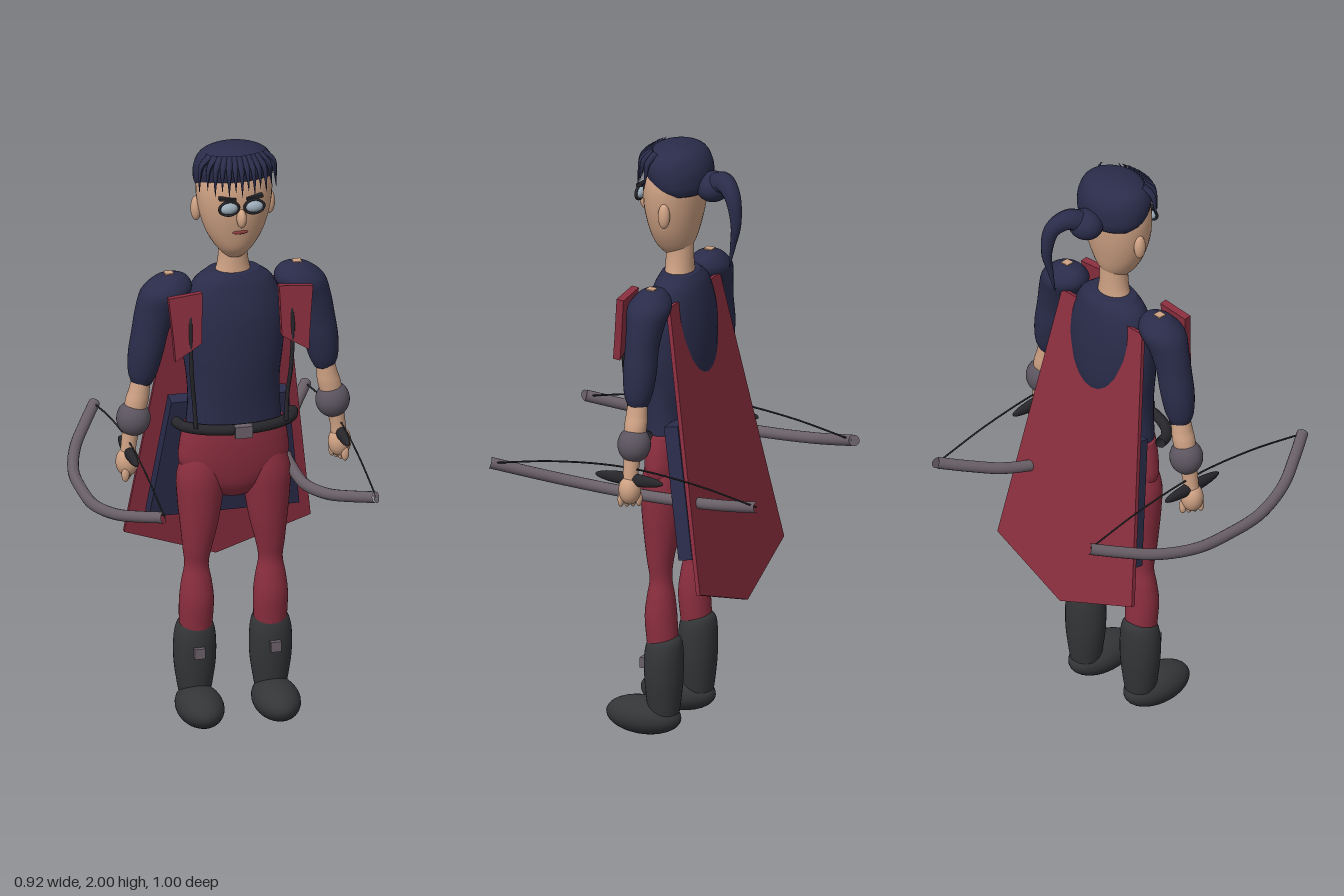
import * as THREE from 'three';

const mat = (name, color, side = THREE.FrontSide) => {
  const m = new THREE.MeshStandardMaterial({ color, side });
  m.name = name;
  return m;
};

// Closed smooth body from ellipse sections [y, x, z, rx, rz], bottom to top
function loft(sections, rings = 36, sides = 32) {
  const s = [...sections].sort((a, b) => a[0] - b[0]);
  const mid = new THREE.CatmullRomCurve3(s.map(p => new THREE.Vector3(p[1], p[0], p[2])), false, 'catmullrom');
  const rad = new THREE.CatmullRomCurve3(s.map(p => new THREE.Vector3(p[3], p[4], 0)), false, 'catmullrom');
  const pos = [], idx = [];
  for (let i = 0; i <= rings + 2; i++) {
    const t = Math.min(Math.max((i - 1) / rings, 0), 1);
    const c = mid.getPoint(t), r = rad.getPoint(t);
    const k = i === 0 || i === rings + 2 ? 0 : 1; // end rings close to a point
    for (let j = 0; j < sides; j++) {
      const a = (j / sides) * Math.PI * 2;
      pos.push(c.x + k * r.x * Math.cos(a), c.y, c.z + k * r.y * Math.sin(a));
      if (i < rings + 2) {
        const p = i * sides + j, q = i * sides + (j + 1) % sides;
        idx.push(p, p + sides, q, q, p + sides, q + sides);
      }
    }
  }
  const g = new THREE.BufferGeometry();
  g.setAttribute('position', new THREE.Float32BufferAttribute(pos, 3));
  g.setIndex(idx);
  g.computeVertexNormals();
  return g;
}

const curve = pts => new THREE.CatmullRomCurve3(pts.map(p => new THREE.Vector3(...p)));

// Tube whose radius follows taper(t)
function tube(pts, radius, taper = () => 1, seg = 24, sides = 12) {
  const path = curve(pts), g = new THREE.TubeGeometry(path, seg, radius, sides);
  const p = g.attributes.position, v = new THREE.Vector3();
  for (let i = 0; i < p.count; i++) {
    const t = Math.floor(i / (sides + 1)) / seg;
    const c = path.getPointAt(t);
    v.fromBufferAttribute(p, i).sub(c).multiplyScalar(taper(t)).add(c);
    p.setXYZ(i, v.x, v.y, v.z);
  }
  g.computeVertexNormals();
  return g;
}

const ball = (rx, ry, rz) => new THREE.SphereGeometry(1, 28, 20).scale(rx, ry, rz);

function slab(points, depth) {
  const shape = new THREE.Shape(points.map(p => new THREE.Vector2(...p)));
  return new THREE.ExtrudeGeometry(shape, { depth, bevelEnabled: false });
}

export function createModel() {
  const navy = mat('navy cloth', 0x2a2c4a);
  const red = mat('red cloth', 0x8b2e3f);
  const skin = mat('skin', 0xcfa284);
  const boot = mat('dark boot leather', 0x333537);
  const wood = mat('grey bow wood', 0x6a6068);
  const cuffGrey = mat('grey cuff', 0x5c5560);
  const dark = mat('dark trim', 0x26262b, THREE.DoubleSide);
  const lens = mat('pale lens', 0x9cabb8);
  const lip = mat('lip', 0x8a3c3c);

  const model = new THREE.Group();
  model.name = 'caped archer';
  const body = new THREE.Group();
  body.name = 'body';
  body.position.x = 0.065;
  model.add(body);
  const add = (name, geo, material, x = 0, y = 0, z = 0, parent = body) => {
    const m = new THREE.Mesh(geo, material);
    m.name = name;
    m.position.set(x, y, z);
    parent.add(m);
    return m;
  };

  // Torso, neck and hips
  add('torso', loft([
    [1.02, 0, -0.02, 0.16, 0.085], [1.12, 0, -0.02, 0.152, 0.088], [1.2, 0, -0.027, 0.155, 0.1],
    [1.3, 0, -0.031, 0.167, 0.106], [1.42, 0, -0.032, 0.168, 0.1],
    [1.52, 0, -0.033, 0.135, 0.078], [1.565, 0, -0.03, 0.085, 0.055]]), navy);
  add('neck', loft([[1.53, 0, -0.028, 0.07, 0.05], [1.58, 0, -0.028, 0.053, 0.046],
    [1.64, 0, -0.028, 0.047, 0.045], [1.7, 0, -0.028, 0.05, 0.045]]), skin);
  add('hips', loft([[0.78, 0, -0.02, 0.05, 0.035], [0.83, 0, -0.02, 0.13, 0.062],
    [0.9, 0, -0.02, 0.18, 0.076], [0.97, 0, -0.02, 0.18, 0.082], [1.04, 0, -0.02, 0.165, 0.082]]), red);

  // Head and face
  add('head', loft([
    [1.62, 0, -0.01, 0.03, 0.03], [1.66, 0, -0.01, 0.065, 0.064], [1.72, 0, -0.01, 0.098, 0.083],
    [1.8, 0, -0.011, 0.12, 0.098], [1.88, 0, -0.015, 0.124, 0.1],
    [1.94, 0, -0.017, 0.1, 0.08], [1.975, 0, -0.017, 0.04, 0.04]]), skin);
  add('nose', ball(0.016, 0.032, 0.022), skin, 0, 1.785, 0.093);
  add('mouth', ball(0.026, 0.007, 0.008), lip, 0, 1.73, 0.073);
  for (const s of [-1, 1]) {
    add('ear', ball(0.018, 0.042, 0.02), skin, s * 0.122, 1.785, -0.03);
    add('eyeLens', ball(0.03, 0.02, 0.018), lens, s * 0.042, 1.825, 0.092);
    add('lensFrame', new THREE.TorusGeometry(0.032, 0.005, 8, 28).scale(1, 0.75, 1), dark, s * 0.042, 1.825, 0.094);
    add('eyebrow', new THREE.BoxGeometry(0.055, 0.01, 0.02), dark, s * 0.045, 1.855, 0.084).rotation.z = s * 0.12;
  }

  // Hair cap, fringe, bun and ponytail
  add('hairCap', loft([
    [1.85, 0, -0.045, 0.11, 0.08], [1.88, 0, -0.035, 0.128, 0.098], [1.93, 0, -0.023, 0.131, 0.108],
    [1.97, 0, -0.02, 0.115, 0.092], [1.99, 0, -0.02, 0.08, 0.065], [2.0, 0, -0.02, 0.03, 0.025]]), navy);
  const strands = 13;
  for (let i = 0; i < strands; i++) {
    const x = -0.125 + 0.25 * i / (strands - 1);
    const z = -0.02 + 0.12 * Math.sqrt(1 - (x / 0.14) ** 2);
    add('fringeStrand', tube([[x * 0.7, 1.98, z * 0.5], [x * 0.95, 1.955, z * 0.9], [x, 1.92, z],
      [x * 1.02, 1.865 + 0.018 * (i % 2), z + 0.006]], 0.014, t => 1.02 - t, 12, 8), navy);
  }
  add('hairBun', ball(0.06, 0.05, 0.055), navy, 0.005, 1.87, -0.15);
  add('ponytail', tube([[0.01, 1.87, -0.15], [0.03, 1.9, -0.2], [0.06, 1.87, -0.245],
    [0.07, 1.78, -0.263], [0.065, 1.7, -0.25], [0.06, 1.625, -0.235]],
    0.04, t => 1.02 - t * 0.98, 32), navy);

  for (const s of [-1, 1]) {
    // Arm
    add('sleeve', loft([
      [1.19, s * 0.303, -0.025, 0.032, 0.03], [1.23, s * 0.3, -0.025, 0.048, 0.045],
      [1.3, s * 0.29, -0.025, 0.058, 0.054], [1.38, s * 0.274, -0.025, 0.062, 0.054],
      [1.45, s * 0.252, -0.027, 0.072, 0.06], [1.51, s * 0.222, -0.028, 0.083, 0.07],
      [1.55, s * 0.207, -0.03, 0.056, 0.045], [1.565, s * 0.205, -0.03, 0.02, 0.018]]), navy);
    add('shoulderPatch', new THREE.BoxGeometry(0.028, 0.02, 0.028), skin, s * 0.213, 1.558, -0.03);
    add('forearm', loft([[0.93, s * 0.352, -0.02, 0.026, 0.025], [1.0, s * 0.345, -0.022, 0.026, 0.026],
      [1.12, s * 0.322, -0.025, 0.038, 0.036], [1.17, s * 0.312, -0.025, 0.034, 0.034],
      [1.22, s * 0.304, -0.025, 0.03, 0.03]]), skin);
    add('cuff', ball(0.056, 0.06, 0.054), cuffGrey, s * 0.331, 1.07, -0.025);
    add('hand', ball(0.038, 0.05, 0.036), skin, s * 0.353, 0.922, -0.02);
    for (let f = 0; f < 4; f++)
      add('finger', ball(0.013, 0.026, 0.01), skin, s * (0.335 + 0.01 * f), 0.888, -0.045 + f * 0.017);

    // Leg and boot
    add('leg', loft([
      [0.22, s * 0.124, -0.028, 0.045, 0.045], [0.31, s * 0.124, -0.027, 0.053, 0.05],
      [0.41, s * 0.123, -0.02, 0.057, 0.052], [0.48, s * 0.123, -0.02, 0.05, 0.045],
      [0.54, s * 0.123, -0.02, 0.04, 0.036], [0.6, s * 0.121, -0.017, 0.048, 0.042],
      [0.68, s * 0.115, -0.018, 0.062, 0.055], [0.77, s * 0.112, -0.02, 0.074, 0.066],
      [0.86, s * 0.108, -0.02, 0.08, 0.07], [0.95, s * 0.1, -0.02, 0.06, 0.055]], 48), red);
    add('bootShaft', loft([[0.05, s * 0.126, -0.032, 0.045, 0.045], [0.12, s * 0.126, -0.032, 0.058, 0.055],
      [0.2, s * 0.126, -0.032, 0.069, 0.062], [0.28, s * 0.126, -0.032, 0.069, 0.063],
      [0.33, s * 0.125, -0.035, 0.058, 0.055], [0.35, s * 0.125, -0.04, 0.035, 0.035]]), boot);
    add('bootFoot', ball(0.077, 0.062, 0.13), boot, s * 0.127, 0.065, 0.04);
    add('bootBuckle', new THREE.BoxGeometry(0.035, 0.035, 0.025), wood, s * 0.127, 0.247, 0.034);

    // Vest lapel and chest cord
    add('lapel', slab([[0.128, 1.53], [0.133, 1.36], [0.222, 1.305], [0.226, 1.37], [0.24, 1.52]]
      .map(p => [s * p[0], p[1] - 1.42]), 0.025), red, 0, 1.42, 0.068).rotation.x = -0.1;
    add('chestCord', tube([[s * 0.165, 1.51, 0.07], [s * 0.17, 1.4, 0.092], [s * 0.165, 1.25, 0.09],
      [s * 0.155, 1.15, 0.08], [s * 0.15, 1.06, 0.085]], 0.007), dark);
  }

  // Belt across the front, with buckle
  const beltPath = [];
  for (let i = 0; i <= 8; i++) {
    const a = Math.PI * i / 8;
    beltPath.push([0.195 * Math.cos(a), 1.05, -0.01 + 0.112 * Math.sin(a)]);
  }
  add('belt', tube(beltPath, 0.018, () => 1, 40), dark);
  add('beltBuckle', new THREE.BoxGeometry(0.058, 0.04, 0.025), wood, 0, 1.048, 0.117);

  // Coat tail and cape slope backwards
  add('coatTail', slab([[-0.195, 0], [-0.25, -0.435], [0.25, -0.435], [0.195, 0]], 0.05), navy, 0, 1.1, -0.115)
    .rotation.x = 0.182;
  add('cape', slab([[-0.185, 0], [-0.31, -0.935], [0, -1.05], [0.31, -0.935], [0.185, 0]], 0.014), red, 0, 1.5, -0.082)
    .rotation.x = 0.182;

  // A bow in each hand, both bending to the same side
  for (const x of [-0.285, 0.418]) {
    const bow = new THREE.Group();
    bow.name = x > 0 ? 'leftBow' : 'rightBow';
    bow.position.x = x;
    model.add(bow);
    const half = [[0, 0.933, 0.482], [-0.055, 0.903, 0.39], [-0.111, 0.873, 0.285], [-0.152, 0.85, 0.14]];
    const limb = [...half, [-0.158, 0.845, 0], ...half.map(p => [p[0], p[1], -p[2]]).reverse()];
    const limbGeo = tube(limb, 0.019, () => 1, 48, 14);
    add('bowLimb', limbGeo, wood, 0, 0, 0, bow);
    for (const e of [-1, 1]) {
      const cap = add('limbTip', new THREE.CircleGeometry(0.019, 14), wood, 0, 0.933, e * 0.482, bow);
      cap.lookAt(cap.position.clone().add(new THREE.Vector3(0.055, 0.03, e * 0.092)));
    }
    add('bowString', tube([[0, 0.933, 0.475], [0, 0.975, 0.25], [0, 0.995, 0],
      [0, 0.975, -0.25], [0, 0.933, -0.475]], 0.003, () => 1, 24, 6), dark, 0, 0, 0, bow);
    add('bowGrip', ball(0.017, 0.022, 0.122), dark, 0, 0.957, -0.018, bow);
  }
  return model;
}
